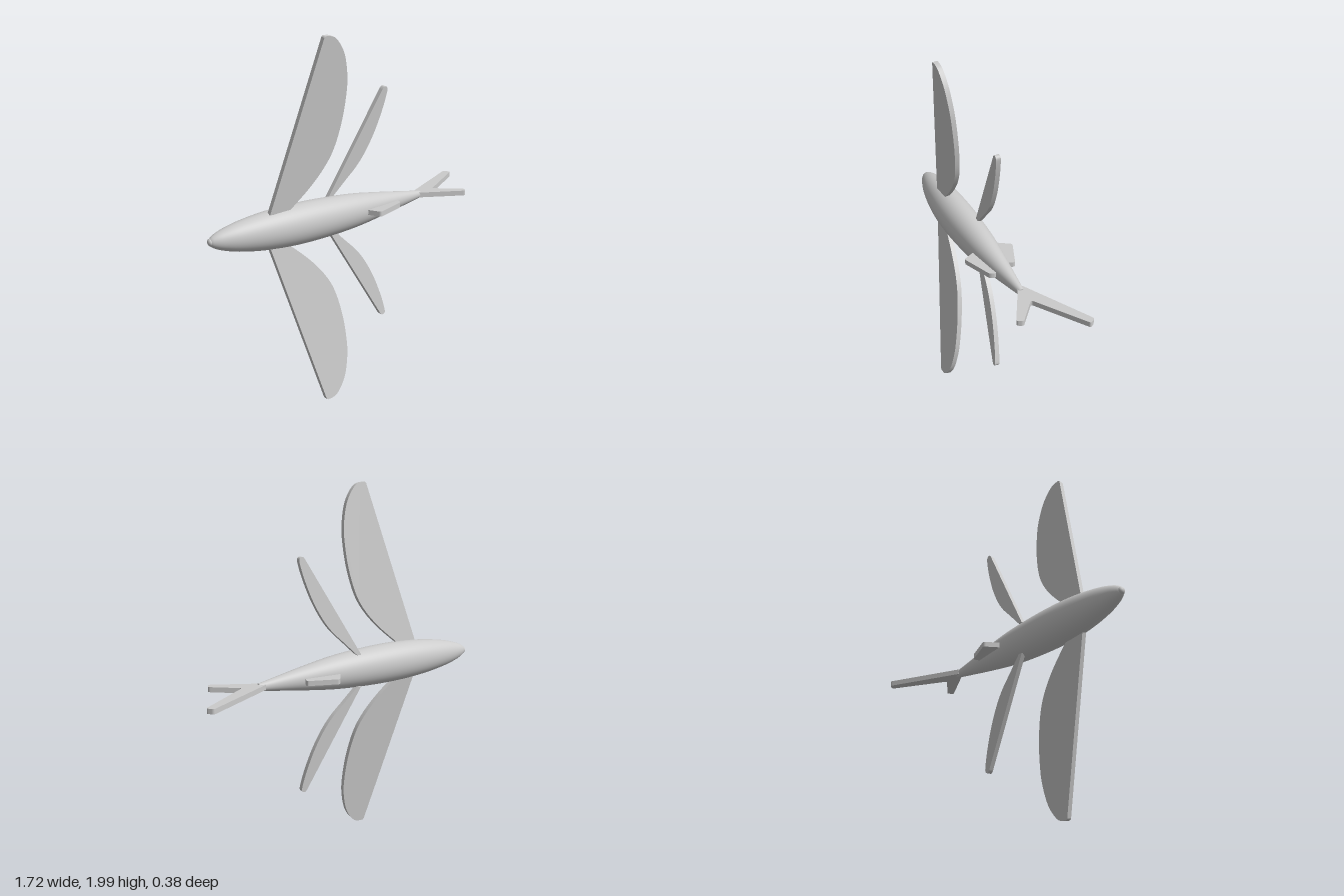
import * as THREE from 'three';

const material = new THREE.MeshStandardMaterial({ color: 0xcccccc });

function addMesh(parent, name, geometry) {
  const mesh = new THREE.Mesh(geometry, material);
  mesh.name = name;
  parent.add(mesh);
  return mesh;
}

// Flat plate of even thickness, centred on its own plane
function plate(shape, thickness) {
  const geometry = new THREE.ExtrudeGeometry(shape, { depth: thickness, bevelEnabled: false, curveSegments: 10 });
  return geometry.translate(0, 0, -thickness / 2);
}

// Polygon whose corners are softened by radius r
function roundedShape(points, r) {
  const shape = new THREE.Shape();
  const v = points.map(([x, y]) => new THREE.Vector2(x, y));
  v.forEach((p, i) => {
    const toward = (q) => p.clone().add(q.clone().sub(p).setLength(r));
    const a = toward(v[(i + v.length - 1) % v.length]);
    const b = toward(v[(i + 1) % v.length]);
    if (i === 0) shape.moveTo(a.x, a.y);
    else shape.lineTo(a.x, a.y);
    shape.quadraticCurveTo(p.x, p.y, b.x, b.y);
  });
  shape.closePath();
  return shape;
}

// Straight leading edge from root to tip, curved trailing edge back to the root
function wingShape(root, trailing) {
  const shape = new THREE.Shape();
  shape.moveTo(...root);
  shape.lineTo(...trailing[0]);
  shape.splineThru(trailing.slice(1).map(([x, y]) => new THREE.Vector2(x, y)));
  shape.closePath();
  return shape;
}

// Pair of fins above and below the body, leaning towards +z
function addFinPair(parent, name, shape, rootZ, lean) {
  [1, -1].forEach((side) => {
    const fin = addMesh(parent, name + (side > 0 ? 'Upper' : 'Lower'), plate(shape, 0.026));
    // A half turn about x mirrors the flat outline
    fin.rotation.x = side > 0 ? lean : Math.PI - lean;
    fin.position.set(0, 1 + side * 0.1, rootZ);
  });
}

export function createModel() {
  const model = new THREE.Group();
  model.name = 'flyingFish';

  // Body: tapering spindle, slightly narrower in z, with a gently bowed centre line
  const profile = new THREE.SplineCurve([
    [0.012, -0.855], [0.03, -0.837], [0.052, -0.79], [0.077, -0.7], [0.099, -0.56], [0.11, -0.4],
    [0.109, -0.22], [0.095, 0], [0.067, 0.2], [0.037, 0.38], [0.02, 0.48],
  ].map(([r, x]) => new THREE.Vector2(r, x))).getPoints(60);
  profile.unshift(new THREE.Vector2(0, -0.857));
  const body = new THREE.LatheGeometry(profile, 48).rotateZ(-Math.PI / 2).scale(1, 1, 0.87);
  const position = body.attributes.position;
  for (let i = 0; i < position.count; i++) {
    const x = position.getX(i);
    const bow = x < -0.3 ? 0.06 * (x + 0.3) ** 2 : 0.024 * (x + 0.3) ** 2;
    position.setZ(i, position.getZ(i) + 0.04 - bow);
  }
  addMesh(model, 'body', body).position.y = 1;

  // Blunt tail end and small mouth
  const stump = new THREE.CircleGeometry(0.02, 24).rotateY(Math.PI / 2).scale(1, 1, 0.87);
  addMesh(model, 'tailStump', stump).position.set(0.48, 1, 0.0254);
  const mouth = new THREE.SphereGeometry(0.02, 20, 12).scale(0.8, 1, 1);
  addMesh(model, 'mouth', mouth).position.set(-0.846, 1, 0.021);

  // Large wing fins, outline measured outwards from the root
  addFinPair(model, 'wingFin', wingShape([-0.53, -0.005], [
    [-0.265, 0.895], [-0.25, 0.902], [-0.195, 0.886], [-0.14, 0.808], [-0.112, 0.7], [-0.107, 0.6],
    [-0.122, 0.45], [-0.16, 0.302], [-0.215, 0.2], [-0.3, 0.1], [-0.415, -0.005],
  ]), 0.065, 0.122);

  // Small wing fins
  addFinPair(model, 'pelvicFin', wingShape([-0.13, -0.01], [
    [0.193, 0.55], [0.205, 0.561], [0.222, 0.556], [0.224, 0.53], [0.2, 0.44], [0.155, 0.32],
    [0.1, 0.215], [0.045, 0.14], [-0.02, 0.075], [-0.105, -0.01],
  ]), 0, 0.076);

  // Fins lying in the horizontal middle plane, outlines given as x, z
  const flatFins = {
    dorsalFin: [[0, -0.01], [0.068, -0.118], [0.235, -0.055], [0.22, 0]],
    analFin: [[0.03, 0.06], [0.1, 0.178], [0.28, 0.112], [0.29, 0.08], [0.2, 0.05]],
    tailFin: [[0.44, 0.008], [0.84, -0.198], [0.868, -0.165], [0.578, 0.02], [0.722, 0.128],
      [0.705, 0.162], [0.45, 0.032]],
  };
  for (const [name, outline] of Object.entries(flatFins)) {
    const shape = roundedShape(outline, 0.014);
    addMesh(model, name, plate(shape, 0.028).rotateX(Math.PI / 2)).position.y = 1;
  }
  return model;
}
